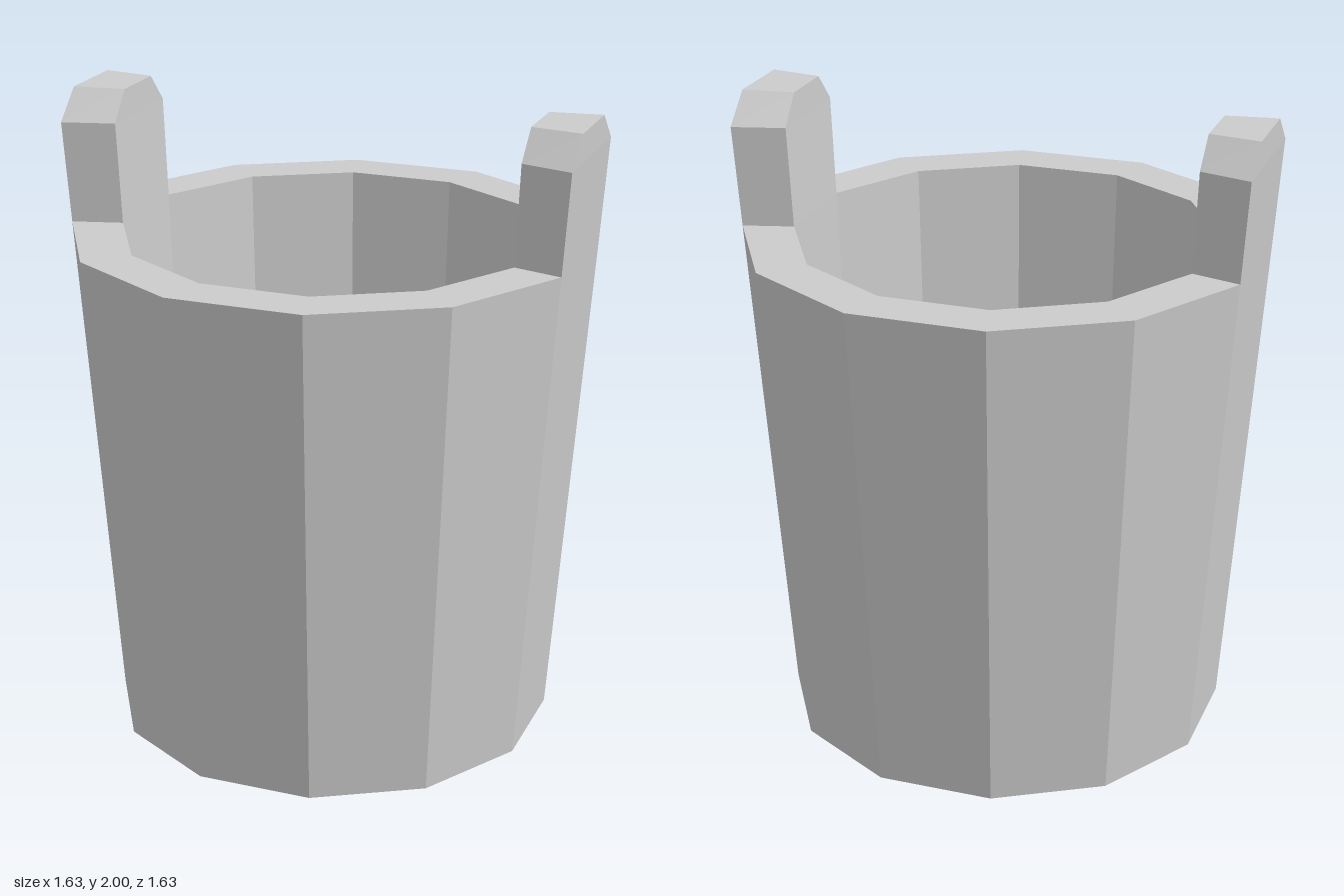
import * as THREE from 'three';

const RIM_Y = 1.595;
const SIDES = 12;

// Tapered lug grown from one rim segment; rings are stacked four-corner sections facing +z.
function lugGeometry() {
  const half = Math.PI / SIDES;
  const ring = (y, rOut, rIn, narrow) => {
    const wo = rOut * Math.sin(half) * narrow, wi = rIn * Math.sin(half) * narrow;
    const zo = rOut * Math.cos(half), zi = rIn * Math.cos(half);
    return [[-wo, y, zo], [wo, y, zo], [wi, y, zi], [-wi, y, zi]];
  };
  const rings = [
    ring(RIM_Y, 0.815, 0.655, 1),
    ring(1.91, 0.837, 0.669, 1),
    ring(2, 0.839, 0.672, 0.545), // chamfered top corners
  ];
  const index = [];
  for (let r = 0; r < rings.length - 1; r++) {
    for (let i = 0; i < 4; i++) {
      const a = r * 4 + i, b = r * 4 + (i + 1) % 4;
      index.push(a, b, b + 4, a, b + 4, a + 4);
    }
  }
  index.push(8, 9, 10, 8, 10, 11); // top cap
  const geo = new THREE.BufferGeometry();
  geo.setAttribute('position', new THREE.Float32BufferAttribute(rings.flat(2), 3));
  geo.setIndex(index);
  const flat = geo.toNonIndexed();
  flat.computeVertexNormals();
  return flat;
}

export function createModel() {
  const group = new THREE.Group();
  group.name = 'bucket';
  const material = new THREE.MeshStandardMaterial({ color: 0xcccccc, flatShading: true });

  // Body: base, outer wall, rim, inner wall and floor in one turned profile
  const profile = [[0, 0], [0.7, 0], [0.815, RIM_Y], [0.655, RIM_Y], [0.6, 0.12], [0, 0.12]]
    .map(([x, y]) => new THREE.Vector2(x, y));
  const body = new THREE.Mesh(new THREE.LatheGeometry(profile, SIDES), material);
  body.name = 'body';
  group.add(body);

  // Two opposite handle lugs on the diagonal
  const lug = lugGeometry();
  ['frontLug', 'backLug'].forEach((name, i) => {
    const mesh = new THREE.Mesh(lug, material);
    mesh.name = name;
    mesh.rotation.y = Math.PI / 4 + i * Math.PI;
    group.add(mesh);
  });
  return group;
}
